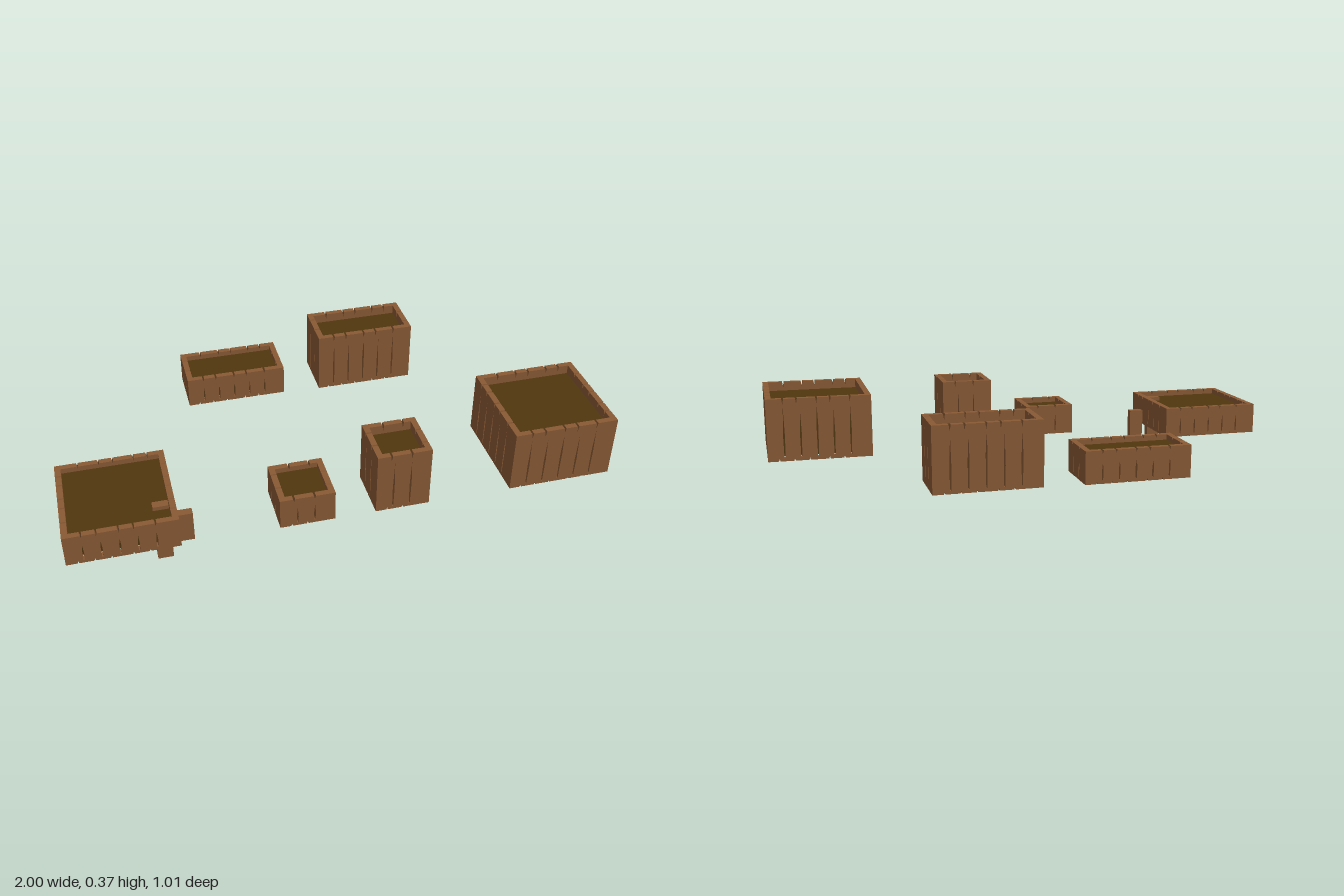
import * as THREE from 'three';

const wood = new THREE.MeshStandardMaterial({ color: 0x8a5a34, flatShading: true });
const soilMat = new THREE.MeshStandardMaterial({ color: 0x50370f, flatShading: true });

const BASE = 0.125, T = 0.022, BOARD = 0.0625;

// One plank wall: tapered cracks between boards, small nicks along both edges
function wallGeometry(length, height, tall) {
  const end = length - T;
  const cracks = [];
  for (let x = BOARD; x < end - 0.008; x += BOARD) cracks.push(x);

  const s = new THREE.Shape();
  s.moveTo(0, 0);
  cracks.forEach((x, i) => {
    const n = x - 0.02 - 0.006 * (i % 3);
    s.lineTo(n - 0.003, 0);
    s.lineTo(n, 0.009);
    s.lineTo(n + 0.003, 0);
  });
  s.lineTo(end, 0);
  s.lineTo(end, height);
  [...cracks].reverse().forEach((x, i) => {
    const n = x - 0.012 * (i % 2);
    s.lineTo(n + 0.004, height);
    s.lineTo(n, height - (tall ? 0.022 : 0.012));
    s.lineTo(n - 0.003, height);
  });
  s.lineTo(0, height);
  s.closePath();

  cracks.forEach((x, i) => {
    const bottom = 0.012;
    const top = tall ? height - 0.03 - 0.008 * (i % 2) : height * 0.66;
    const mid = bottom + (top - bottom) * (0.4 + 0.1 * (i % 3));
    const hole = new THREE.Path();
    hole.moveTo(x - 0.002, bottom);
    hole.lineTo(x - 0.003, mid);
    hole.lineTo(x + 0.001, top);
    hole.lineTo(x + 0.004, mid);
    hole.lineTo(x + 0.002, bottom);
    hole.closePath();
    s.holes.push(hole);
  });
  return new THREE.ExtrudeGeometry(s, { depth: T, bevelEnabled: false });
}

// Bottomless planter: four walls in a pinwheel around a block of soil
function planter(name, x, z, w, d, tall) {
  const g = new THREE.Group();
  g.name = name;
  const h = tall ? 0.24 : 0.12;
  for (let k = 0; k < 4; k++) {
    const [len, dep] = k % 2 ? [d, w] : [w, d];
    const geo = wallGeometry(len, h, tall);
    geo.translate(-len / 2, 0, dep / 2 - T);
    const wall = new THREE.Mesh(geo, wood);
    wall.name = ['frontWall', 'leftWall', 'backWall', 'rightWall'][k];
    wall.rotation.y = k * Math.PI / 2;
    g.add(wall);
  }
  const low = 0.015, high = h - (tall ? 0.035 : 0.02);
  const soil = new THREE.Mesh(
    new THREE.BoxGeometry(w - 2 * T, high - low, d - 2 * T), soilMat);
  soil.name = 'soil';
  soil.position.y = (low + high) / 2;
  g.add(soil);
  g.position.set(x, BASE, z);
  return g;
}

function plank(name, x, y0, y1) {
  const m = new THREE.Mesh(new THREE.BoxGeometry(0.056, y1 - y0, 0.03), wood);
  m.name = name;
  m.position.set(x, (y0 + y1) / 2, 0.402);
  return m;
}

export function createModel() {
  const model = new THREE.Group();
  model.name = 'planterBoxes';
  model.add(
    planter('lowLargePlanter', -0.803, 0.307, 0.394, 0.394, false),
    planter('lowSmallPlanter', -0.157, 0.402, 0.2, 0.2, false),
    planter('lowLongPlanter', -0.252, -0.406, 0.394, 0.2, false),
    planter('tallSmallPlanter', 0.193, 0.402, 0.2, 0.2, true),
    planter('tallLongPlanter', 0.286, -0.396, 0.39, 0.2, true),
    planter('tallLargePlanter', 0.803, 0.307, 0.394, 0.394, true),
    // Loose boards beside the low large planter
    plank('longBoard', -0.658, 0, 0.24),
    plank('shortBoard', -0.578, 0.065, 0.185),
  );
  return model;
}
